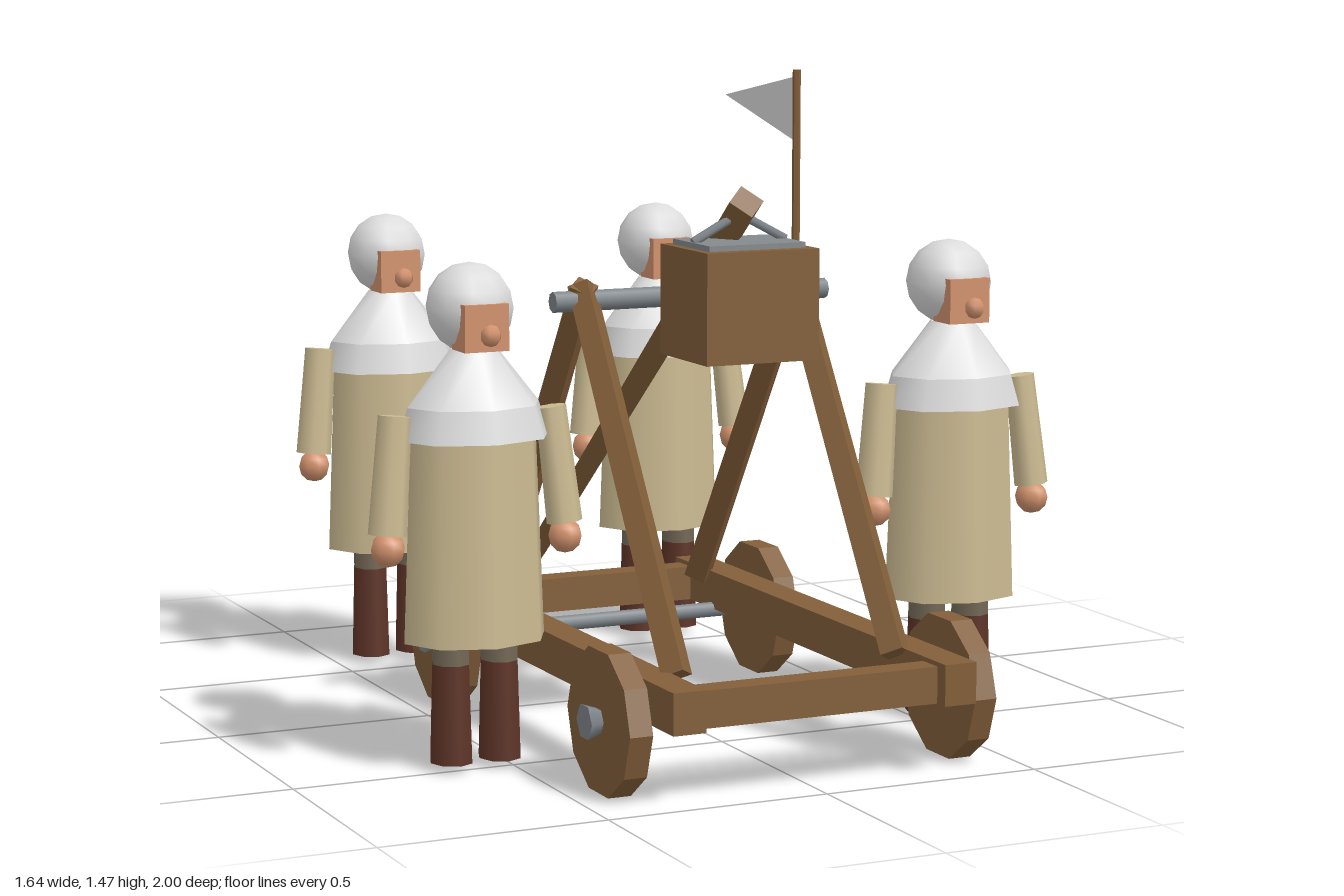
import * as THREE from 'three';

const mat = (name, color, extra = {}) => {
  const m = new THREE.MeshStandardMaterial({ color, ...extra });
  m.name = name;
  return m;
};

export function createModel() {
  const root = new THREE.Group();
  root.name = 'siegeEngine';
  const wood = mat('wood', 0x835f3a, { flatShading: true });
  const metal = mat('iron', 0x7e858a);
  const stone = mat('stone', 0x858a8d);
  const cloth = mat('paleCloth', 0xdcdcdc, { side: THREE.DoubleSide });
  const coatMat = mat('coat', 0xccbb92);
  const trouserMat = mat('trousers', 0x746957);
  const leather = mat('leather', 0x5e3427);
  const skin = mat('skin', 0xd2926e);
  const rope = mat('rope', 0x9c8d69);

  const V = (x, y, z) => new THREE.Vector3(x, y, z);
  const add = (parent, name, geo, material, x = 0, y = 0, z = 0) => {
    const m = new THREE.Mesh(geo, material);
    m.name = name;
    m.position.set(x, y, z);
    parent.add(m);
    return m;
  };
  const box = (name, w, h, d, material, x, y, z, parent = root) =>
    add(parent, name, new THREE.BoxGeometry(w, h, d), material, x, y, z);
  // tapered pole between two points
  const pole = (name, a, b, ra, rb, sides, material, parent = root) => {
    const m = add(parent, name, new THREE.CylinderGeometry(rb, ra, a.distanceTo(b), sides), material);
    m.position.copy(a).add(b).multiplyScalar(0.5);
    m.quaternion.setFromUnitVectors(V(0, 1, 0), b.clone().sub(a).normalize());
    return m;
  };

  // chassis
  for (const s of [-1, 1]) box('sideRail', 0.075, 0.09, 1.33, wood, s * 0.317, 0.205, 0.335);
  for (const z of [-0.278, 0.935]) box('crossBeam', 0.57, 0.08, 0.062, wood, 0, 0.2, z);

  // axles, wheels and hubs
  for (const z of [-0.13, 0.795]) {
    pole('axle', V(-0.44, 0.157, z), V(0.44, 0.157, z), 0.018, 0.018, 8, metal);
    for (const s of [-1, 1]) {
      const wheel = add(root, 'wheel', new THREE.CylinderGeometry(0.16, 0.16, 0.052, 10), wood, s * 0.405, 0.154, z);
      wheel.rotation.z = Math.PI / 2;
      pole('hubNut', V(s * 0.425, 0.157, z), V(s * 0.463, 0.157, z), 0.026, 0.04, 6, metal);
    }
  }

  // A-frames and pivot
  for (const s of [-1, 1]) {
    pole('frontLeg', V(s * 0.26, 0.24, 0.815), V(s * 0.26, 1.01, 0.325), 0.036, 0.034, 4, wood);
    pole('rearLeg', V(s * 0.26, 0.24, -0.165), V(s * 0.26, 1.01, 0.34), 0.036, 0.034, 4, wood);
  }
  pole('pivotBar', V(-0.333, 0.978, 0.335), V(0.333, 0.978, 0.335), 0.023, 0.023, 8, metal);

  // throwing arm
  pole('throwingArm', V(0, 0.245, -0.55), V(0, 1.208, 0.61), 0.029, 0.041, 4, wood);

  // counterweight box, its filling and hangers
  box('counterweightBox', 0.266, 0.24, 0.233, wood, 0, 0.99, 0.577);
  box('counterweightFill', 0.228, 0.012, 0.18, stone, 0, 1.116, 0.575);
  for (const s of [-1, 1])
    pole('hanger', V(s * 0.11, 1.122, 0.575), V(0, 1.18, 0.575), 0.01, 0.01, 6, metal);

  // sling, pouch and shot
  for (const s of [-1, 1])
    pole('slingRope', V(s * 0.006, 0.24, -0.545), V(s * 0.034, 0.085, -0.855), 0.007, 0.007, 5, rope);
  const pouch = add(root, 'slingPouch', new THREE.SphereGeometry(0.087, 6, 4), leather, 0, 0.052, -0.912);
  pouch.scale.y = 0.4;
  pouch.rotation.y = Math.PI / 2;
  add(root, 'shot', new THREE.SphereGeometry(0.065, 10, 8), stone, 0, 0.105, -0.91);

  // pennant
  pole('flagPole', V(0.26, 0.98, 0.335), V(0.26, 1.47, 0.335), 0.009, 0.009, 6, wood);
  const flag = new THREE.Shape([[-0.33, 1.455], [0.025, 1.395], [-0.33, 1.31]].map(p => new THREE.Vector2(...p)));
  add(root, 'flag', new THREE.ShapeGeometry(flag), cloth, 0.26, 0, 0).rotation.y = Math.PI / 2;

  // crew
  const frustum = (parent, name, y0, y1, r0, r1, depth, material) => {
    const m = add(parent, name, new THREE.CylinderGeometry(r1, r0, y1 - y0, 8), material, 0, (y0 + y1) / 2, 0);
    m.scale.z = depth;
    return m;
  };
  const crewMember = (x, z) => {
    const g = new THREE.Group();
    g.name = 'crewMember';
    g.position.set(x, 0, z);
    root.add(g);
    frustum(g, 'coat', 0.285, 0.76, 0.161, 0.142, 0.8, coatMat);
    // hooded cape
    frustum(g, 'capeHem', 0.72, 0.79, 0.172, 0.15, 0.78, cloth);
    frustum(g, 'capeShoulders', 0.79, 0.91, 0.15, 0.053, 0.78, cloth);
    add(g, 'hood', new THREE.SphereGeometry(0.096, 10, 8), cloth, 0, 0.995, -0.018);
    // face
    box('face', 0.1, 0.1, 0.075, skin, 0, 0.96, 0.042, g);
    add(g, 'nose', new THREE.SphereGeometry(0.024, 6, 5), skin, 0, 0.947, 0.1);
    for (const s of [-1, 1]) {
      // legs
      const boot = pole('boot', V(s * 0.056, 0.02, 0), V(s * 0.056, 0.235, 0), 0.047, 0.041, 8, leather, g);
      const trouser = pole('trouserLeg', V(s * 0.056, 0.23, 0), V(s * 0.056, 0.33, 0), 0.041, 0.041, 8, trouserMat, g);
      boot.scale.z = trouser.scale.z = 1.15;
      // arms
      pole('sleeve', V(s * 0.178, 0.775, 0), V(s * 0.203, 0.525, 0.016), 0.031, 0.036, 8, coatMat, g).scale.z = 1.15;
      add(g, 'hand', new THREE.SphereGeometry(0.038, 8, 6), skin, s * 0.203, 0.495, 0.018);
    }
  };
  for (const s of [-1, 1]) {
    crewMember(s * 0.58, 0.482);
    crewMember(s * 0.358, -0.602);
  }
  return root;
}
